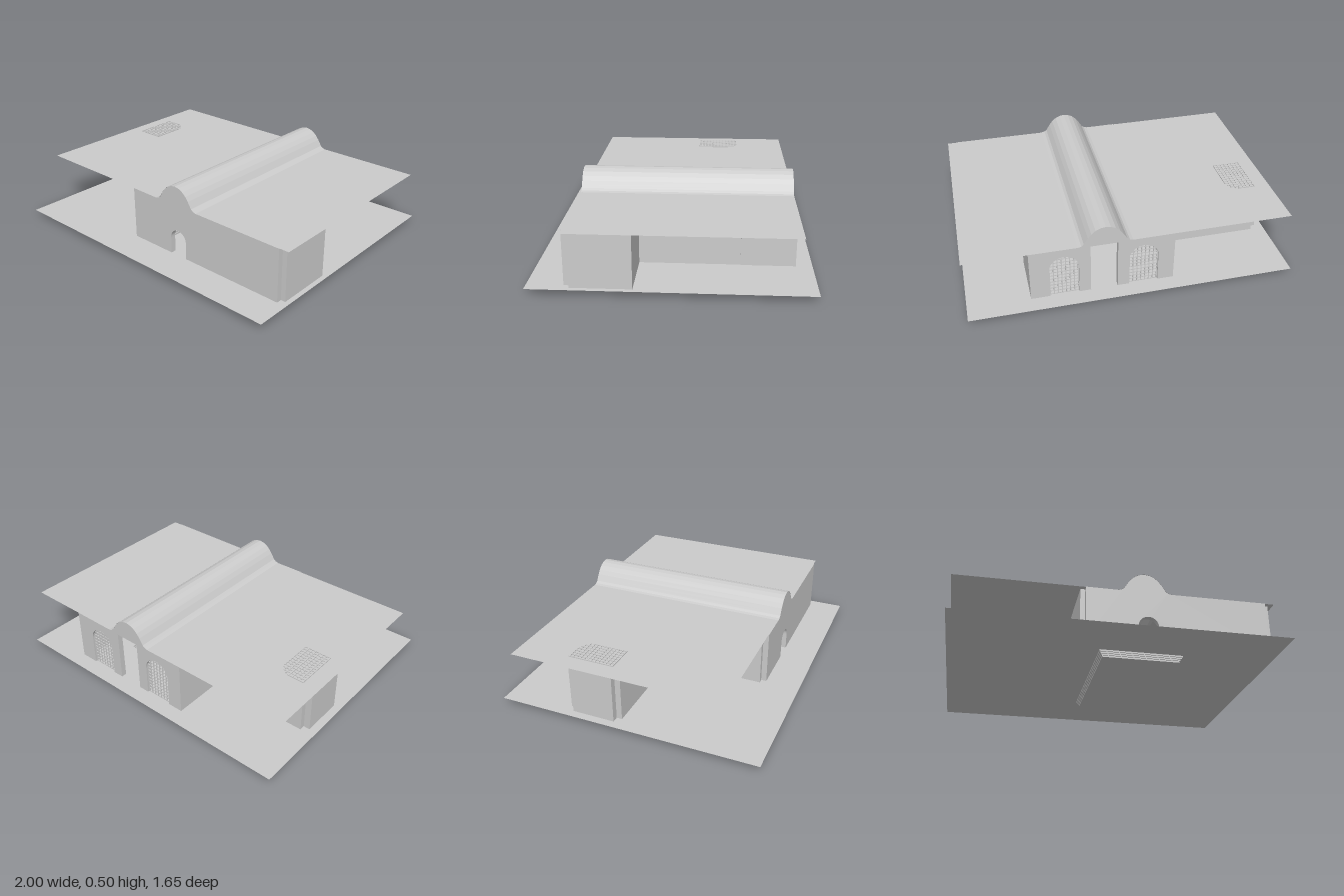
import * as THREE from 'three';

const FLOOR = 0.04, ROOF = 0.38;
const mat = new THREE.MeshStandardMaterial({ color: 0xcccccc, side: THREE.DoubleSide });

// Half profile of the vault from its flared foot to the crown, mirrored about x = 0.165
const half = [[0, 0.38], [0.02, 0.385], [0.035, 0.397], [0.045, 0.413], [0.06, 0.437],
  [0.08, 0.463], [0.105, 0.485], [0.135, 0.499], [0.165, 0.504]];
const vault = [...half, ...half.slice(0, -1).reverse().map(([x, y]) => [0.33 - x, y])];

function add(parent, geometry, name, x = 0, y = 0, z = 0) {
  const mesh = new THREE.Mesh(geometry, mat);
  mesh.name = name;
  mesh.position.set(x, y, z);
  parent.add(mesh);
  return mesh;
}

function box(parent, name, x0, x1, y0, y1, z0, z1) {
  return add(parent, new THREE.BoxGeometry(x1 - x0, y1 - y0, z1 - z0), name,
    (x0 + x1) / 2, (y0 + y1) / 2, (z0 + z1) / 2);
}

// Gabled wall outline, with doorways cut up from the floor (left to right)
function gableWall(parent, name, x0, x1, z, depth, openings) {
  const s = new THREE.Shape();
  s.moveTo(x0, FLOOR);
  for (const { a, b, top, arched } of openings) {
    const r = (b - a) / 2;
    s.lineTo(a, FLOOR);
    s.lineTo(a, arched ? top - r : top);
    if (arched) s.absarc((a + b) / 2, top - r, r, Math.PI, 0, true);
    else s.lineTo(b, top);
    s.lineTo(b, FLOOR);
  }
  s.lineTo(x1, FLOOR);
  s.lineTo(x1, ROOF);
  [...vault].reverse().forEach(([x, y]) => s.lineTo(x, y - 0.001));
  s.lineTo(x0, ROOF);
  add(parent, new THREE.ExtrudeGeometry(s, { depth, bevelEnabled: false, curveSegments: 12 }), name, 0, 0, z);
}

// Flat slab of no thickness with a rectangular hole
function plane(parent, name, y, [x0, x1, z0, z1], [hx0, hx1, hz0, hz1]) {
  const rect = (C, a, b, c, d) => new C([[a, c], [b, c], [b, d], [a, d]].map(p => new THREE.Vector2(p[0], -p[1])));
  const s = rect(THREE.Shape, x0, x1, z0, z1);
  s.holes.push(rect(THREE.Path, hx0, hx1, hz0, hz1));
  add(parent, new THREE.ShapeGeometry(s).rotateX(-Math.PI / 2), name, 0, y, 0);
}

// Loft through open or closed rows of points
function loft(rows, closed) {
  const pos = [], n = rows[0].length;
  for (let i = 0; i < rows.length - 1; i++) {
    for (let j = 0; j < (closed ? n : n - 1); j++) {
      const k = (j + 1) % n, a = rows[i][j], b = rows[i][k], c = rows[i + 1][k], d = rows[i + 1][j];
      pos.push(...a, ...b, ...c, ...a, ...c, ...d);
    }
  }
  const g = new THREE.BufferGeometry();
  g.setAttribute('position', new THREE.Float32BufferAttribute(pos, 3));
  g.computeVertexNormals();
  return g;
}

// Lattice of bars filling an arch; one side may keep a square shoulder
function grille(name, squareLeft) {
  const g = new THREE.Group();
  g.name = name;
  const w = 0.18, h = 0.29, r = w / 2, t = 0.006, cols = 8, rows = 13;
  for (let i = 0; i < cols; i++) {
    const x = -r + t / 2 + (w - t) * i / (cols - 1);
    const top = squareLeft && x < 0 ? h : h - r + Math.sqrt(Math.max(0, r * r - x * x));
    box(g, 'uprightBar', x - t / 2, x + t / 2, 0, top, -t / 2, t / 2);
  }
  for (let j = 0; j < rows; j++) {
    const y = t / 2 + (h - t) * j / (rows - 1);
    const over = Math.max(0, y - (h - r));
    const e = Math.sqrt(Math.max(0.0001, r * r - over * over));
    box(g, 'crossBar', squareLeft ? -r : -e, e, y - t / 2, y + t / 2, -t / 2, t / 2);
  }
  return g;
}

export function createModel() {
  const model = new THREE.Group();
  model.name = 'bathHall';

  // Ground and roof sheets
  plane(model, 'ground', FLOOR, [-1, 1, -0.83, 0.82], [-0.09, 0.43, -0.46, 0.46]);
  plane(model, 'roof', ROOF, [-1, 1, -0.73, 0.6], [0.001, 0.329, -0.729, 0.599]);

  // Stepped basin sunk below the ground
  const rings = [], steps = 4;
  const ring = (inset, y) => {
    const a = -0.09 + inset, b = 0.43 - inset, c = 0.46 - inset;
    return [[a, y, -c], [a, y, c], [b, y, c], [b, y, -c]];
  };
  for (let i = 0; i < steps; i++) {
    rings.push(ring(i * 0.006, FLOOR - i * 0.01), ring(i * 0.006, FLOOR - (i + 1) * 0.01));
  }
  add(model, loft(rings, true), 'basinSteps');
  add(model, new THREE.PlaneGeometry(0.484, 0.884).rotateX(-Math.PI / 2), 'basinFloor', 0.17, 0, 0);

  // Barrel vault along the hall
  const shell = loft([-0.73, 0.605].map(z => vault.map(([x, y]) => [x, y, z])), false);
  add(model, shell, 'barrelVault');

  // Gabled front and back walls
  gableWall(model, 'frontWall', -0.2, 0.94, 0.57, 0.034, [{ a: 0.12, b: 0.245, top: 0.212, arched: true }]);
  gableWall(model, 'backWall', -0.26, 0.62, -0.73, 0.035, [
    { a: -0.16, b: 0.02, top: 0.325, arched: true },
    { a: 0.09, b: 0.255, top: 0.375, arched: false },
    { a: 0.325, b: 0.505, top: 0.325, arched: true }]);

  // Plain walls: x range, z range
  const walls = {
    hallLeftFront: [0.58, 0.61, 0.21, 0.57],
    hallLeftMiddle: [0.58, 0.615, -0.4, 0.21],
    hallLeftBack: [0.58, 0.62, -0.695, -0.4],
    leftWingBack: [0.61, 0.97, 0.21, 0.245],
    leftWingSide: [0.94, 0.97, 0.245, 0.57],
    hallRightFront: [-0.23, -0.2, -0.1, 0.57],
    hallRightBack: [-0.26, -0.23, -0.695, -0.06],
    rightWingBack: [-0.91, -0.26, -0.4, -0.365],
    rightWingSide: [-0.95, -0.91, -0.365, -0.095],
    rightWingFront: [-0.91, -0.26, -0.095, -0.06],
  };
  for (const [name, [x0, x1, z0, z1]] of Object.entries(walls)) box(model, name, x0, x1, FLOOR, ROOF, z0, z1);

  // Window grilles in the back wall
  for (const x of [-0.07, 0.415]) {
    const g = grille('windowGrille', false);
    g.position.set(x, FLOOR, -0.715);
    model.add(g);
  }

  // Loose grille lying on the roof
  const loose = grille('roofGrille', true);
  loose.rotation.x = -Math.PI / 2;
  loose.position.set(-0.81, ROOF + 0.01, -0.105);
  model.add(loose);

  return model;
}
